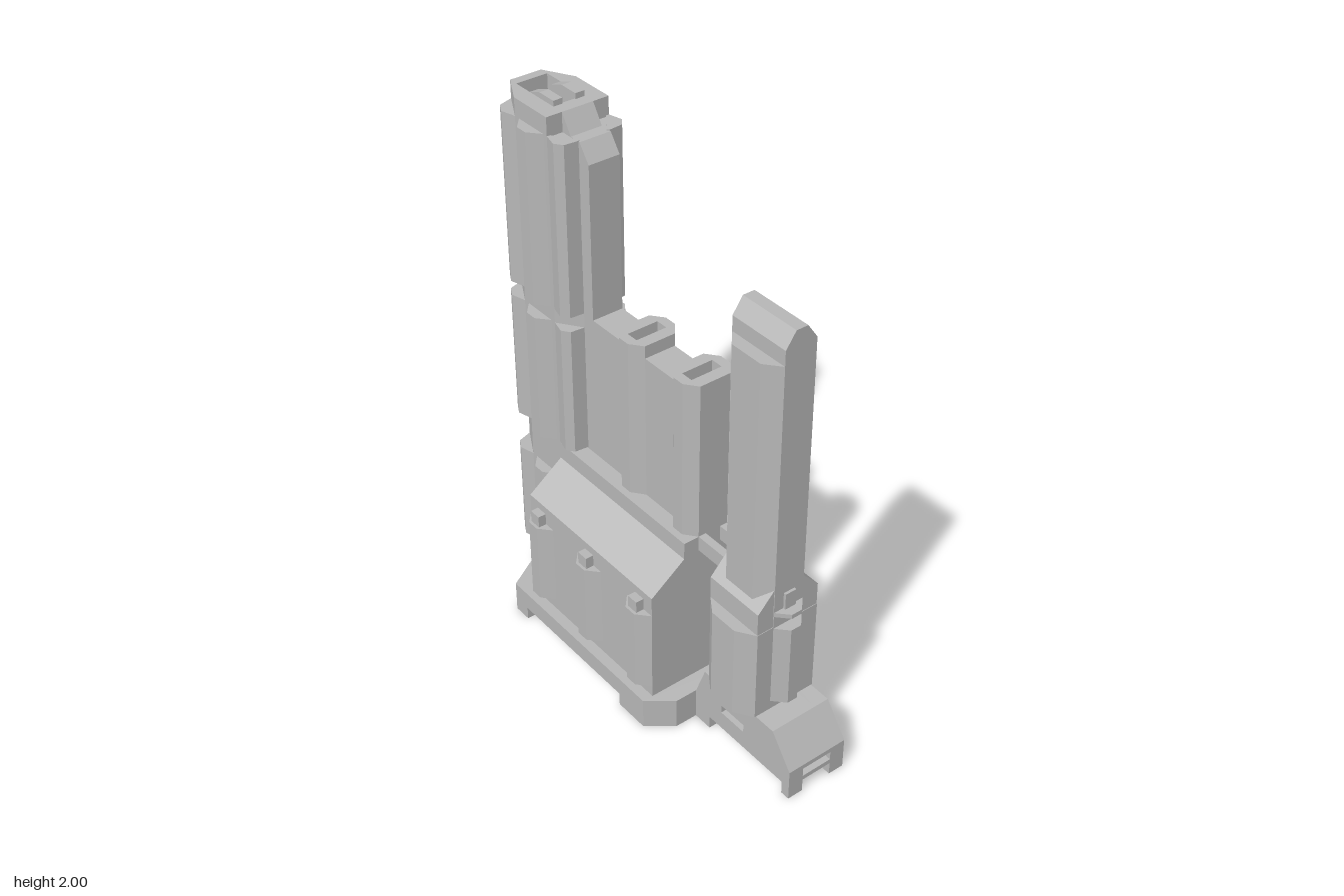
import * as THREE from 'three';
import { ConvexGeometry } from 'three/addons/geometries/ConvexGeometry.js';

const stone = new THREE.MeshStandardMaterial({ color: 0xb8b8b8 });
stone.name = 'paleGreyStone';

export function createModel() {
  const model = new THREE.Group();
  model.name = 'twinTowerBuilding';

  const add = (name, geo) => {
    const mesh = new THREE.Mesh(geo, stone);
    mesh.name = name;
    model.add(mesh);
    return mesh;
  };
  const extrude = (pts, holes, depth) => {
    const toV = (list) => list.map(([a, b]) => new THREE.Vector2(a, b));
    const shape = new THREE.Shape(toV(pts));
    for (const h of holes) shape.holes.push(new THREE.Path(toV(h)));
    return new THREE.ExtrudeGeometry(shape, { depth, bevelEnabled: false });
  };
  // Upright prism from a plan of [x, z] points
  const prism = (name, plan, y0, y1, holes = []) => {
    const flip = (l) => l.map(([x, z]) => [x, -z]);
    add(name, extrude(flip(plan), holes.map(flip), y1 - y0).rotateX(-Math.PI / 2).translate(0, y0, 0));
  };
  // Side profile of [z, y] points, running from x0 to x1
  const alongX = (name, profile, x0, x1, holes = []) =>
    add(name, extrude(profile, holes, x1 - x0).rotateY(-Math.PI / 2).translate(x1, 0, 0));
  // Front profile of [x, y] points, running from z0 to z1
  const alongZ = (name, profile, z0, z1) =>
    add(name, extrude(profile, [], z1 - z0).translate(0, 0, z0));
  const box = (name, x0, x1, y0, y1, z0, z1) =>
    add(name, new THREE.BoxGeometry(x1 - x0, y1 - y0, z1 - z0)
      .translate((x0 + x1) / 2, (y0 + y1) / 2, (z0 + z1) / 2));
  // Mirror the right half of an outline to its left half
  const mirror = (half) => [...half, ...half.map(([x, v]) => [-x, v]).reverse()];
  const rect = (x, z0, z1) => [[-x, z0], [x, z0], [x, z1], [-x, z1]];
  // Trapezoid block whose underside is smaller than its top
  const keel = (name, top, bottom, y) => add(name, new ConvexGeometry([
    ...top.map(([x, z]) => new THREE.Vector3(x, y, z)),
    ...bottom.map(([x, z]) => new THREE.Vector3(x, 0, z))]));
  // Faceted pilaster standing on the wall from a to b, pushed outward from (cx, cz)
  const pilaster = (name, a, b, depth, y0, y1, center) => {
    const dx = b[0] - a[0], dz = b[1] - a[1], len = Math.hypot(dx, dz);
    let nx = dz / len, nz = -dx / len;
    if (nx * (a[0] - center[0]) + nz * (a[1] - center[1]) < 0) { nx = -nx; nz = -nz; }
    const at = (t, d) => [a[0] + dx * t + nx * d, a[1] + dz * t + nz * d];
    prism(name, [at(0, -0.01), at(0, 0), at(0.33, depth), at(0.67, depth), at(1, 0), at(1, -0.01)], y0, y1);
  };

  // Base slab with undercut sides
  prism('baseSlab', mirror([[0.205, 0.305], [0.295, 0.235], [0.295, -0.53], [0.12, -0.635], [0.06, -0.745]]), 0.05, 0.12);
  prism('baseFrontFoot', mirror([[0.205, 0.305], [0.295, 0.235], [0.295, 0.1]]), 0, 0.05);
  prism('baseRearFoot', mirror([[0.295, -0.46], [0.295, -0.53], [0.12, -0.635], [0.06, -0.745]]), 0, 0.05);
  keel('baseKeel', rect(0.295, -0.46, 0.1), rect(0.25, -0.46, 0.1), 0.05);

  // Front plinth: three strips so the middle one can carry the front slot
  const slope = [[0.70, 0.24], [0.35, 0.24], [0.305, 0.12], [0.305, 0.05], [0.79, 0.05]];
  const vent = [[[0.44, 0.12], [0.555, 0.12], [0.555, 0.152], [0.44, 0.152]]];
  for (const [x0, x1] of [[-0.12, -0.06], [0.06, 0.12]]) {
    alongX('plinthSide', [...slope, [0.79, 0.12]], x0, x1, vent);
    box('plinthToe', x0, x1, 0, 0.05, 0.755, 0.79);
  }
  alongX('plinthMiddle', [...slope, [0.79, 0.068], [0.75, 0.068], [0.75, 0.102], [0.79, 0.102], [0.79, 0.12]],
    -0.06, 0.06, vent);
  keel('plinthKeel', rect(0.12, 0.3, 0.785), rect(0.08, 0.3, 0.74), 0.05);
  box('plinthHeel', -0.12, 0.12, 0, 0.05, 0.3, 0.38);

  // Front tower
  prism('frontTowerFoot', mirror([[0.125, 0.615], [0.168, 0.55], [0.168, 0.44], [0.125, 0.378]]), 0.24, 0.6);
  alongZ('frontTowerShoulder', mirror([[0.125, 0.6], [0.125, 0.685], [0.06, 0.755]]), 0.378, 0.613);
  prism('frontTowerShaft', mirror([[0.06, 0.614], [0.105, 0.56], [0.105, 0.43], [0.06, 0.379]]), 0.6, 1.605);
  alongZ('frontTowerBlade', mirror([[0.06, 0.6], [0.06, 1.66], [0.022, 1.715]]), 0.378, 0.615);
  pilaster('frontTowerPilaster', [-0.06, 0.615], [0.06, 0.615], 0.042, 0.275, 0.595, [0, 0.5]);
  pilaster('frontTowerBracket', [-0.06, 0.615], [0.06, 0.615], 0.042, 0.645, 0.662, [0, 0.5]);
  box('frontTowerBracketStem', -0.022, 0.022, 0.66, 0.725, 0.61, 0.625);
  for (const s of [-1, 1]) {
    const rail = box('bridgeRail', 0.03, 0.06, 0.668, 0.725, 0.22, 0.385);
    if (s < 0) rail.position.x = -0.09;
  }

  // Main hall with sloping shoulders
  alongZ('mainHall', mirror([[0.255, 0.12], [0.255, 0.56], [0.12, 0.66], [0.12, 0.725]]), -0.46, 0.235);
  for (const s of [-1, 1]) {
    for (const z of [0.1675, -0.1125, -0.3925]) {
      pilaster('hallPilaster', [s * 0.255, z + 0.0675], [s * 0.255, z - 0.0675], 0.04, 0.165, 0.485, [0, z]);
      const pin = box('hallPilasterPin', -0.02, 0.02, 0.48, 0.53, z - 0.023, z + 0.023);
      pin.position.x = s * 0.265;
    }
  }

  // Spine wall with two slotted chimneys
  box('spineWall', -0.06, 0.06, 0.72, 1.278, -0.4, 0.2);
  for (const z of [0.1675, -0.1125]) {
    const plan = mirror([[0.06, z + 0.0675], [0.095, z + 0.023], [0.095, z - 0.023], [0.06, z - 0.0675]]);
    prism('chimneyShaft', plan, 0.72, 1.28);
    prism('chimneyTop', plan, 1.28, 1.325, [rect(0.06, z - 0.023, z + 0.023)]);
  }

  // Rear tower core, front buttress and cap
  const half = [[0.06, -0.375], [0.12, -0.46], [0.12, -0.635], [0.06, -0.745]];
  prism('rearTowerCore', mirror(half), 0.12, 1.91);
  alongX('rearTowerButtress', [[-0.325, 0.72], [-0.325, 1.85], [-0.37, 1.912], [-0.45, 1.912], [-0.45, 0.72]], -0.06, 0.06);
  const slot = [[-0.06, -0.71], [0.06, -0.71], [0.06, -0.635], [0.025, -0.635], [0.025, -0.51],
    [-0.025, -0.51], [-0.025, -0.635], [-0.06, -0.635]];
  prism('rearTowerCap', mirror(half.slice(1)), 1.91, 1.98, [slot]);
  alongX('rearTowerCapSlope', [[-0.415, 1.91], [-0.46, 1.98], [-0.46, 1.91]], -0.06, 0.06);
  for (const x of [-0.06, 0.025]) {
    alongX('rearTowerCapFin', [[-0.505, 1.975], [-0.505, 2], [-0.58, 2], [-0.635, 1.98], [-0.635, 1.975]], x, x + 0.035);
  }

  // Three tiers of pilasters round the rear tower
  const center = [0, -0.55];
  [[0.175, 0.575], [0.73, 1.225], [1.28, 1.915]].forEach(([y0, y1], tier) => {
    pilaster('rearTowerBackPilaster', [0.06, -0.745], [-0.06, -0.745], 0.04, y0, y1, center);
    for (const s of [-1, 1]) {
      pilaster('rearTowerSidePilaster', [s * 0.12, -0.48], [s * 0.12, -0.612], 0.038, y0, y1, center);
      pilaster('rearTowerCornerPilaster', [s * 0.12, -0.635], [s * 0.06, -0.745], 0.04, y0, y1, center);
      if (tier > 0) {
        pilaster('rearTowerFrontPilaster', [s * 0.12, -0.46], [s * 0.06, -0.375], 0.04, y0, y1, center);
      }
    }
  });

  return model;
}
